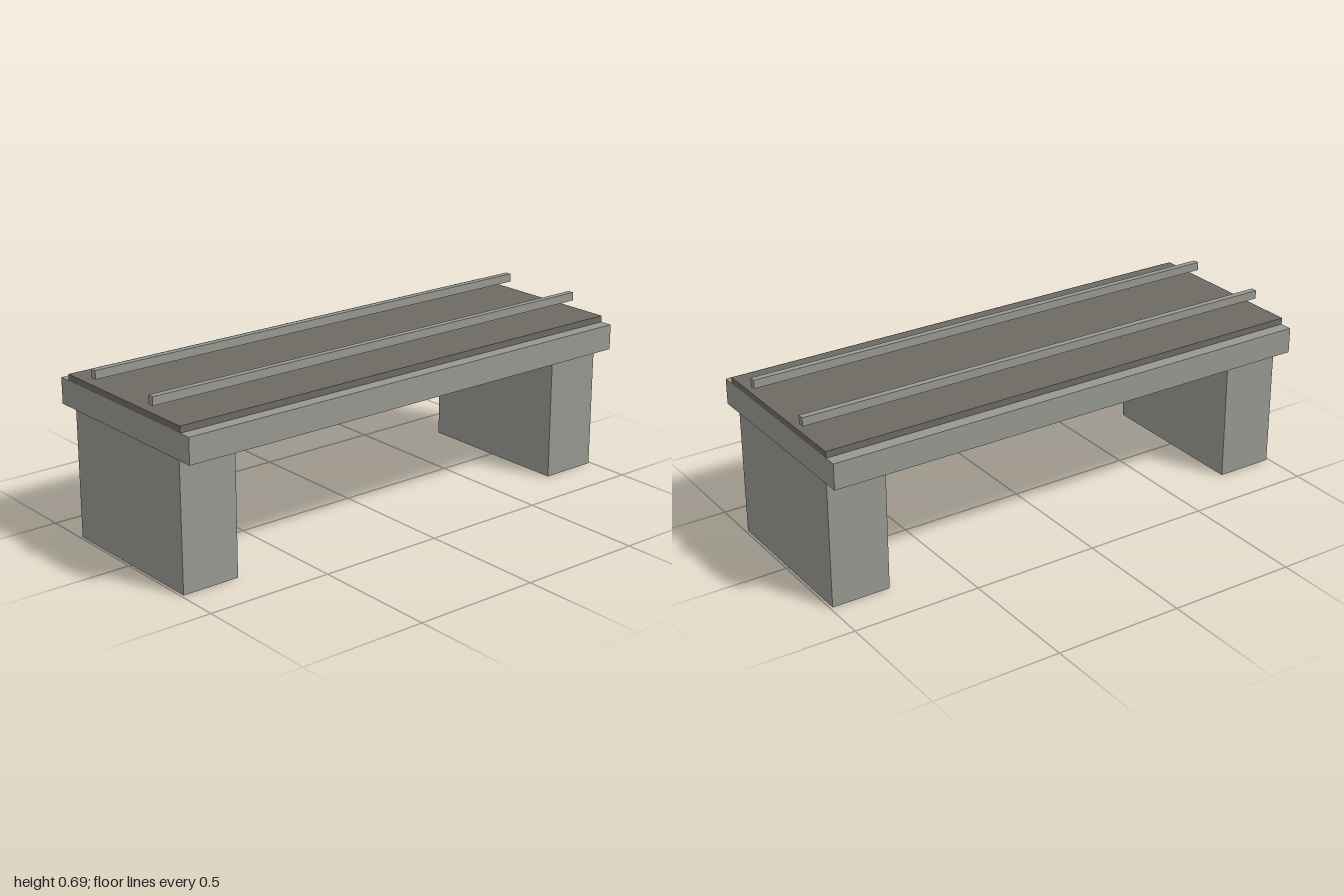
import * as THREE from 'three';

export function createModel() {
  const bridge = new THREE.Group();
  bridge.name = 'railwayBridge';

  const material = (name, color) => {
    const m = new THREE.MeshStandardMaterial({ color });
    m.name = name;
    return m;
  };
  const concrete = material('concrete', 0x989892);
  const ballastGrey = material('ballastGrey', 0x6e6a64);

  // Box given by its size, its centre in x and z, and its bottom height
  const addBox = (name, mat, [w, h, d], x, bottom, z) => {
    const mesh = new THREE.Mesh(new THREE.BoxGeometry(w, h, d), mat);
    mesh.name = name;
    mesh.position.set(x, bottom + h / 2, z);
    bridge.add(mesh);
  };

  // Deck slab and track bed
  addBox('deck', concrete, [0.8, 0.1, 2], 0, 0.5, 0);
  addBox('trackBed', ballastGrey, [0.7, 0.025, 2], 0, 0.6, 0);

  // Supporting piers at both ends
  addBox('frontPier', concrete, [0.65, 0.5, 0.23], 0, 0, 0.875);
  addBox('backPier', concrete, [0.65, 0.5, 0.23], 0, 0, -0.875);

  // Rails, raised clear of the track bed
  addBox('leftRail', concrete, [0.025, 0.033, 2], 0.179, 0.652, 0);
  addBox('rightRail', concrete, [0.025, 0.033, 2], -0.179, 0.652, 0);

  return bridge;
}
